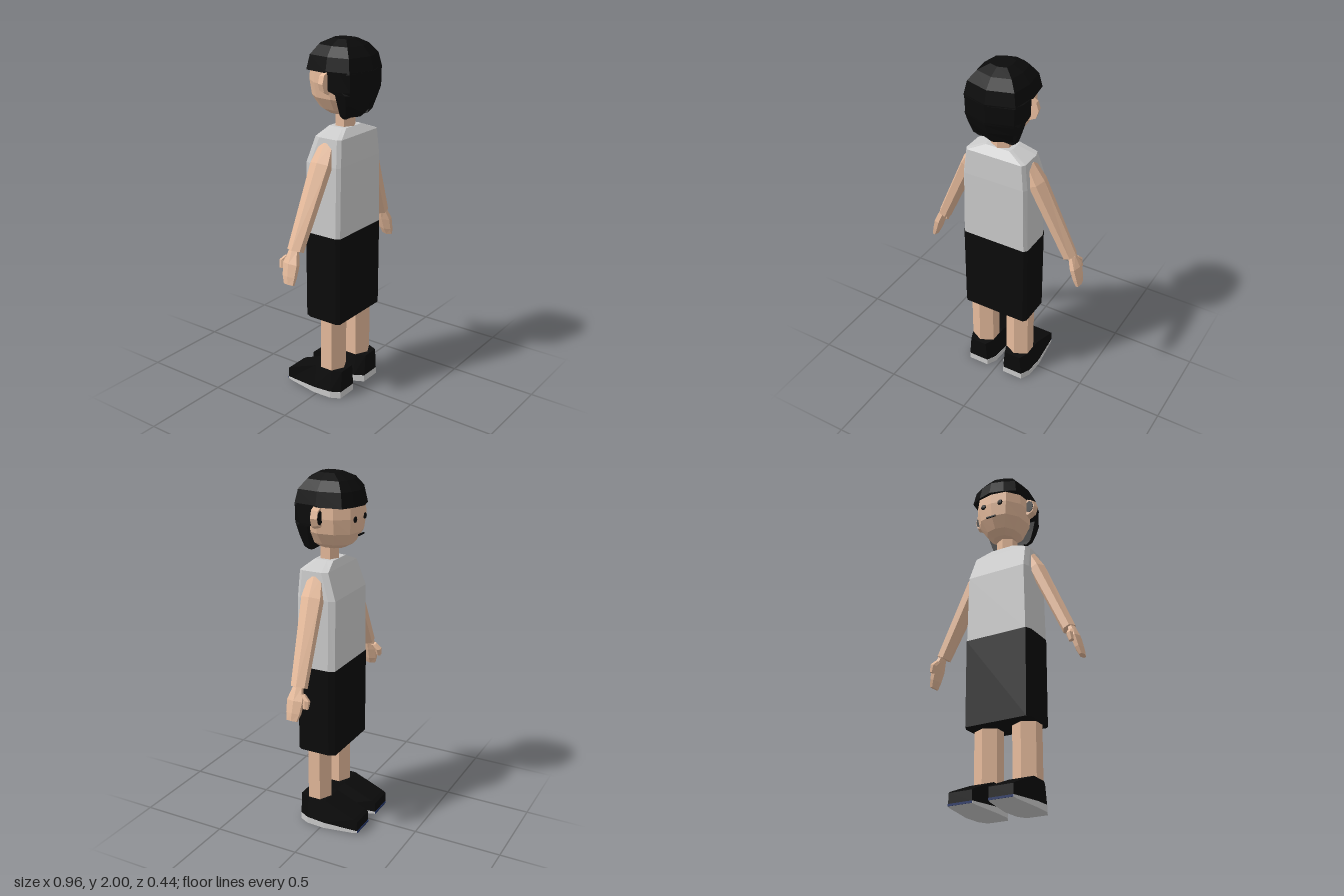
import * as THREE from 'three';

const mat = (color) => new THREE.MeshStandardMaterial({ color, flatShading: true, side: THREE.DoubleSide });
const SKIN = mat(0xe6bb9c), BLACK = mat(0x0b0b0b), GREY = mat(0xcccccc), BLUE = mat(0x223366);

// Closed faceted solid through a list of rings of [x, y, z] points, wound outwards
function loft(name, rings, material) {
  const tris = [];
  const n = rings[0].length;
  for (let i = 0; i < rings.length - 1; i++) {
    for (let j = 0; j < n; j++) {
      const k = (j + 1) % n, a = rings[i], b = rings[i + 1];
      tris.push([a[j], a[k], b[k]], [a[j], b[k], b[j]]);
    }
  }
  const middle = (r) => [0, 1, 2].map((c) => r.reduce((t, p) => t + p[c], 0) / n);
  const first = rings[0], last = rings[rings.length - 1];
  const m0 = middle(first), m1 = middle(last);
  for (let j = 0; j < n; j++) {
    const k = (j + 1) % n;
    tris.push([m0, first[k], first[j]], [m1, last[j], last[k]]);
  }
  const o = new THREE.Vector3(...m0);
  const v = (p) => new THREE.Vector3(...p).sub(o);
  const volume = tris.reduce((t, [a, b, c]) => t + v(a).dot(v(b).cross(v(c))), 0);
  if (volume < 0) tris.forEach((t) => t.reverse());
  const geo = new THREE.BufferGeometry();
  geo.setAttribute('position', new THREE.Float32BufferAttribute(tris.flat(2), 3));
  geo.computeVertexNormals();
  return add(name, geo, material);
}

function add(name, geo, material, x = 0, y = 0, z = 0) {
  const mesh = new THREE.Mesh(geo, material);
  mesh.name = name;
  mesh.position.set(x, y, z);
  return mesh;
}

// Level ring from half an outline [x, z], mirrored; points at x = 0 are not doubled
function level(half, y, s = 1, cz = 0, sz = s) {
  const full = [...half, ...half.filter((p) => p[0] > 0).reverse().map(([x, z]) => [-x, z])];
  return full.map(([x, z]) => [x * s, y, cz + (z - cz) * sz]);
}

// Six-sided ring around a limb lying in the x-y plane
function limbRing([x, y, z], [dx, dy], thick, deep) {
  const len = Math.hypot(dx, dy);
  return Array.from({ length: 6 }, (_, i) => {
    const a = (i * Math.PI) / 3, c = Math.cos(a) * thick;
    return [x - (dy / len) * c, y + (dx / len) * c, z + Math.sin(a) * deep];
  });
}

function makeHead() {
  const g = new THREE.Group();
  g.name = 'head';
  const face = [[0, -0.14], [0.09, -0.122], [0.145, -0.05], [0.155, 0.05], [0.12, 0.14], [0, 0.17]];
  g.add(loft('skull', [
    level(face, 1.61, 0.4, 0.03, 0.45), level(face, 1.635, 0.62, 0.02, 0.7),
    level(face, 1.7, 0.9, 0.02, 0.94), level(face, 1.78), level(face, 1.86, 0.98, 0.02),
    level(face, 1.94, 0.7, 0.02),
  ], SKIN));

  // Hair: crown with fringe, then the bob around the back and behind the ears
  const crown = [[0, -0.157], [0.08, -0.135], [0.145, -0.1], [0.168, 0.04], [0.148, 0.175], [0, 0.22]];
  g.add(loft('hairCrown', [
    level(crown, 1.842), level(crown, 1.92, 0.9, 0.03), level(crown, 1.97, 0.66, 0.03),
    level(crown, 2, 0.32, 0.04),
  ], BLACK));
  const bob = (y, x, front, back) =>
    level([[x, front], [x * 0.98, (front + back) / 2], [x * 0.86, back - 0.045], [0, back]], y);
  g.add(loft('hairBack', [
    bob(1.6, 0.1, 0.1, 0.14), bob(1.62, 0.125, 0.1, 0.165), bob(1.68, 0.145, 0.098, 0.197),
    bob(1.735, 0.16, 0.094, 0.217), bob(1.75, 0.163, 0.052, 0.22), bob(1.85, 0.167, 0.03, 0.22),
  ], BLACK));

  for (const s of [1, -1]) {
    const ear = new THREE.CylinderGeometry(0.062, 0.052, 0.035, 8).rotateX(Math.PI / 2).scale(0.8, 1, 1);
    g.add(add('ear', ear, SKIN, s * 0.157, 1.79, 0.033));
    const hollow = new THREE.CylinderGeometry(0.038, 0.038, 0.004, 8).rotateX(Math.PI / 2).scale(0.7, 1, 1);
    g.add(add('earHollow', hollow, BLACK, s * 0.167, 1.79, 0.015));
    g.add(add('eye', new THREE.SphereGeometry(0.017, 8, 6).scale(1, 1, 0.4), BLACK, s * 0.055, 1.775, -0.131));
  }
  g.add(add('mouth', new THREE.BoxGeometry(0.06, 0.008, 0.008), BLACK, 0, 1.69, -0.139));
  return g;
}

function makeArm(s) {
  const g = new THREE.Group();
  g.name = s > 0 ? 'leftArm' : 'rightArm';
  const dir = [s * 0.235, -0.51];
  g.add(loft('sleeve', [
    limbRing([s * 0.155, 1.47, 0.045], dir, 0.03, 0.045),
    limbRing([s * 0.205, 1.37, 0.04], dir, 0.045, 0.065),
    limbRing([s * 0.4, 0.945, 0.015], dir, 0.038, 0.047),
  ], SKIN));
  // Hand with the thumb pointing forward
  const down = [s * 0.05, -0.17];
  g.add(loft('palm', [
    limbRing([s * 0.412, 0.95, 0.015], down, 0.02, 0.03),
    limbRing([s * 0.437, 0.885, 0.015], down, 0.026, 0.052),
    limbRing([s * 0.455, 0.82, 0.018], down, 0.022, 0.045),
    limbRing([s * 0.467, 0.78, 0.022], down, 0.014, 0.034),
  ], SKIN));
  g.add(loft('thumb', [
    limbRing([s * 0.42, 0.92, -0.015], down, 0.018, 0.02),
    limbRing([s * 0.428, 0.89, -0.044], down, 0.02, 0.021),
    limbRing([s * 0.438, 0.848, -0.045], down, 0.014, 0.015),
  ], SKIN));
  return g;
}

function makeLeg(s) {
  const g = new THREE.Group();
  g.name = s > 0 ? 'leftLeg' : 'rightLeg';
  const x = s * 0.117;
  const shin = new THREE.CylinderGeometry(0.072, 0.072, 0.4, 6).scale(1.14, 1, 1);
  g.add(add('shin', shin, SKIN, x, 0.33, 0.052));

  // Shoe stations from heel to toe: z, sole width, top width, ground, sole top, shoe top
  const stations = [
    [0.145, 0.062, 0.05, 0, 0.04, 0.165], [0.09, 0.09, 0.072, 0, 0.038, 0.165],
    [-0.02, 0.095, 0.073, 0, 0.033, 0.165], [-0.2, 0.075, 0.072, 0.008, 0.025, 0.093],
    [-0.222, 0.072, 0.07, 0.012, 0.024, 0.08],
  ];
  const slab = (z, w0, w1, y0, y1) => [[x - w0, y0, z], [x + w0, y0, z], [x + w1, y1, z], [x - w1, y1, z]];
  g.add(loft('sole', stations.map(([z, w, , y0, y1]) => slab(z, w, w, y0, y1)), GREY));
  g.add(loft('shoe', stations.map(([z, w, t, , y1, y2]) => slab(z, w * 0.98, t, y1, y2)), BLACK));
  g.add(add('toeStripe', new THREE.BoxGeometry(0.142, 0.012, 0.004), BLUE, x, 0.018, -0.223));
  return g;
}

export function createModel() {
  const model = new THREE.Group();
  model.name = 'figure';

  // Sleeveless top, narrowing to sloped shoulders
  const body = (y, x, front, back) =>
    level([[x * 0.92, front], [x, front + 0.035], [x, back - 0.02], [x * 0.92, back]], y);
  model.add(loft('top', [
    body(0.965, 0.2, -0.08, 0.145), body(1.36, 0.192, -0.08, 0.145),
    body(1.505, 0.176, -0.03, 0.138), body(1.545, 0.075, -0.01, 0.1),
  ], GREY));
  model.add(loft('skirt', [body(0.468, 0.201, -0.082, 0.146), body(0.97, 0.202, -0.082, 0.146)], BLACK));

  const neck = new THREE.CylinderGeometry(0.055, 0.055, 0.16, 6).scale(1.1, 1, 1);
  model.add(add('neck', neck, SKIN, 0, 1.57, 0.047));
  model.add(makeHead());
  for (const s of [1, -1]) model.add(makeArm(s), makeLeg(s));
  return model;
}
